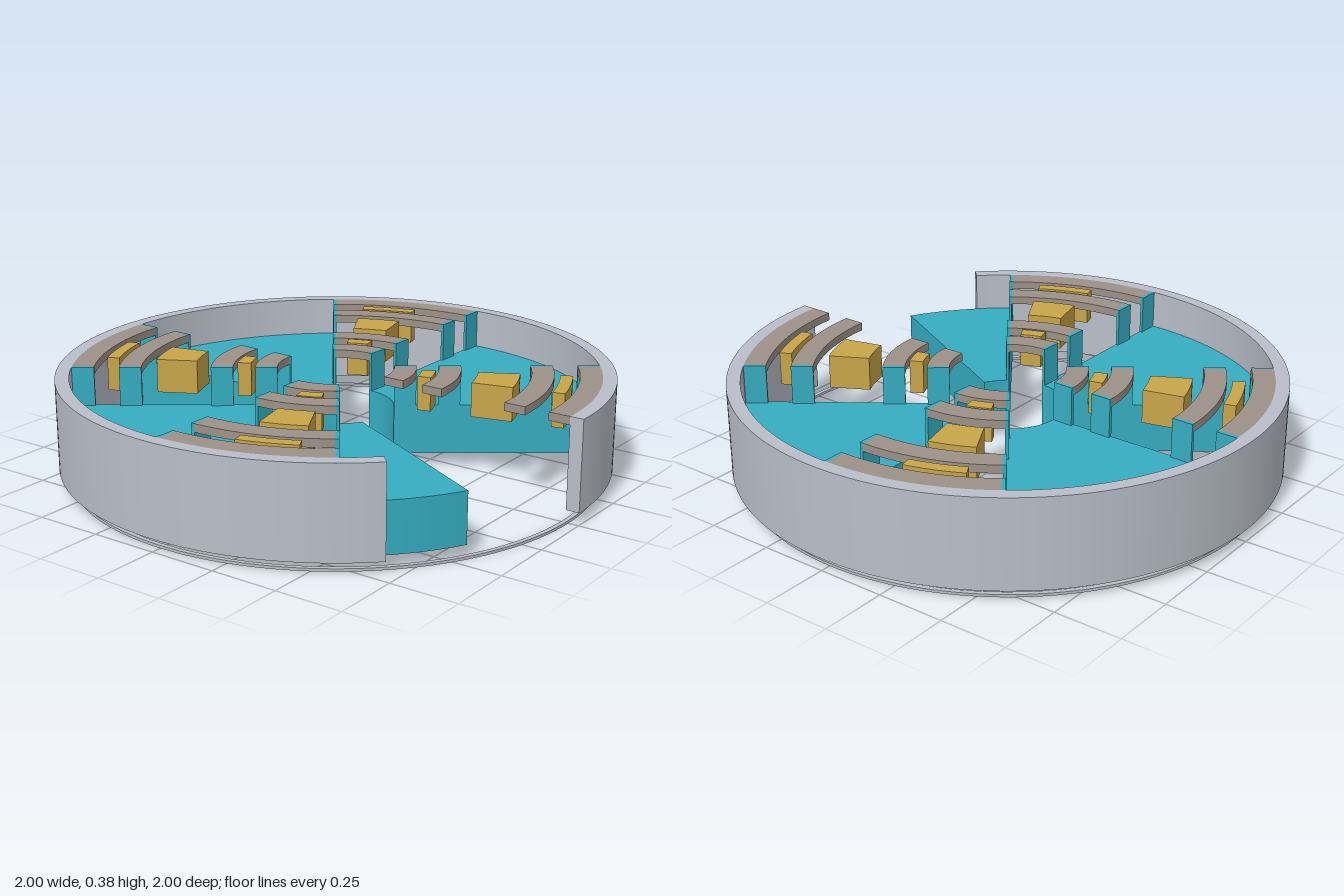
import * as THREE from 'three';
import { toCreasedNormals } from 'three/addons/utils/BufferGeometryUtils.js';

const material = (name, color) => {
  const m = new THREE.MeshStandardMaterial({ color });
  m.name = name;
  return m;
};

const rad = THREE.MathUtils.degToRad;

// Annular block; angles in degrees run from +x towards +z
function arcBlock(r0, r1, a0, a1, y0, y1) {
  const shape = new THREE.Shape();
  if (a1 - a0 >= 360) {
    shape.absarc(0, 0, r1, 0, Math.PI * 2, false);
    const hole = new THREE.Path();
    hole.absarc(0, 0, r0, 0, Math.PI * 2, true);
    shape.holes.push(hole);
  } else {
    shape.absarc(0, 0, r1, rad(a0), rad(a1), false);
    shape.absarc(0, 0, r0, rad(a1), rad(a0), true);
    shape.closePath();
  }
  const curveSegments = Math.max(4, Math.ceil((a1 - a0) / 3));
  const geo = new THREE.ExtrudeGeometry(shape, { depth: y1 - y0, bevelEnabled: false, curveSegments });
  geo.rotateX(Math.PI / 2);
  geo.translate(0, y1, 0);
  return toCreasedNormals(geo, rad(30));
}

export function createModel() {
  const model = new THREE.Group();
  model.name = 'segmentedRotor';

  const steel = material('lightSteel', 0xb9bec8);
  const teal = material('teal', 0x35adc0);
  const brown = material('warmGrey', 0x9c9188);
  const gold = material('gold', 0xc8a549);

  const add = (name, mat, parent, ...dims) => {
    const mesh = new THREE.Mesh(arcBlock(...dims), mat);
    mesh.name = name;
    parent.add(mesh);
  };

  const BASE = 0.045, DECK = 0.23, TOP = 0.375;
  const HUB = 0.21, RIM = 0.95;
  const bands = [[HUB, 0.29], [0.37, 0.45], [0.70, 0.78], [0.87, RIM]];
  const blocks = [[0.31, 0.36], [0.51, 0.66], [0.80, 0.845]];

  // Outer housing with an open cutaway, and the thin ring beneath it
  add('housingWall', steel, model, RIM, 1, 45, 360, BASE, TOP);
  add('baseRing', steel, model, 0.945, 0.962, 0, 360, 0, 0.01);

  for (let i = 0; i < 4; i++) {
    const start = i * 90, end = start + 54, next = start + 90;
    const quarter = new THREE.Group();
    quarter.name = 'quarter' + (i + 1);
    model.add(quarter);

    // Wedge sector; the first is cut short by the cutaway
    add('wedge', teal, quarter, HUB, RIM, i === 0 ? 28 : start, end, BASE, DECK);

    for (const [r0, r1] of bands) {
      // Curved bands bridging the gap, and thin end plates standing on the wedges
      add('curvedBand', brown, quarter, r0, r1, end, next, 0.345, TOP);
      const t = THREE.MathUtils.radToDeg(0.012 / ((r0 + r1) / 2));
      add('endPlate', teal, quarter, r0, r1, end - t, end, DECK, TOP);
      if (i > 0) add('endPlate', teal, quarter, r0, r1, start, start + t, DECK, TOP);
    }

    // Blocks set between the bands
    for (const [r0, r1] of blocks)
      add('goldBlock', gold, quarter, r0, r1, start + 61.6, start + 76.1, 0.25, TOP);
  }
  return model;
}
